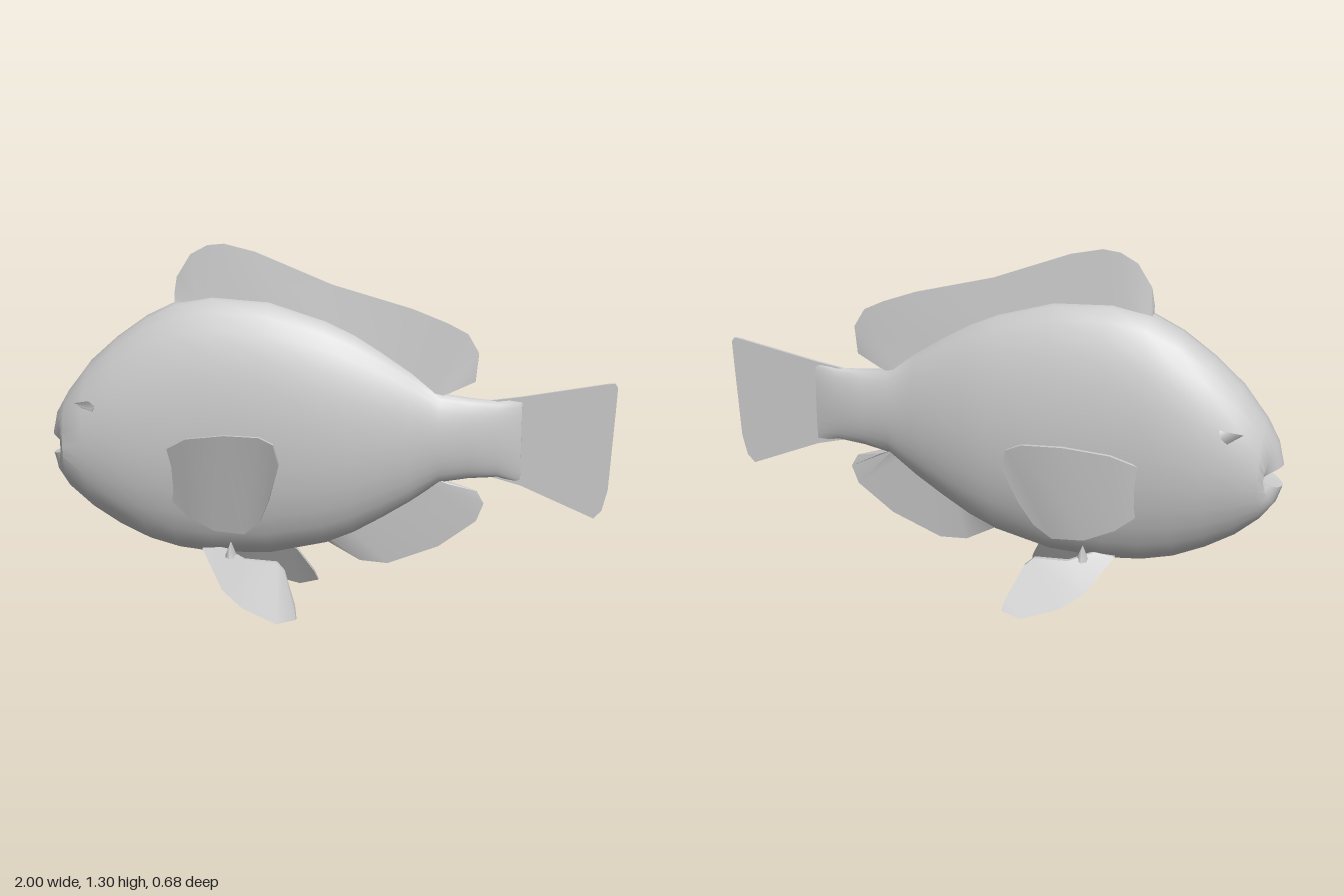
import * as THREE from 'three';
import { toCreasedNormals } from 'three/addons/utils/BufferGeometryUtils.js';

const material = new THREE.MeshStandardMaterial({ color: 0xcccccc, side: THREE.DoubleSide });

// Skin a row of closed cross-sections running towards +x and cap both ends
function loft(rings, crease) {
  const n = rings[0].length, last = rings.length - 1;
  const points = rings.flat();
  const index = [];
  for (let i = 0; i < last; i++) {
    for (let j = 0; j < n; j++) {
      const k = (j + 1) % n;
      const a = i * n + j, b = a + n, c = i * n + k, d = c + n;
      index.push(a, b, c, c, b, d);
    }
  }
  for (let j = 1; j < n - 1; j++) {
    index.push(0, j, j + 1);
    index.push(last * n, last * n + j + 1, last * n + j);
  }
  const geometry = new THREE.BufferGeometry();
  geometry.setAttribute('position', new THREE.Float32BufferAttribute(points.flat(), 3));
  geometry.setIndex(index);
  return toCreasedNormals(geometry, crease);
}

// Thin blade spanned between pairs of upper and lower edge points
function blade(name, pairs, upperHalf, lowerHalf, side = 1) {
  const rings = pairs.map(([[ux, uy, uz = 0], [lx, ly, lz = 0]]) => [
    [ux, uy, side * uz - upperHalf], [lx, ly, side * lz - lowerHalf],
    [lx, ly, side * lz + lowerHalf], [ux, uy, side * uz + upperHalf],
  ]);
  const mesh = new THREE.Mesh(loft(rings, 0.6), material);
  mesh.name = name;
  return mesh;
}

function createBody() {
  // x, bottom, top, half width, backward sweep of the sides
  const sections = [
    [-0.91, 0.56, 0.585, 0.06, 0], [-1.0, 0.535, 0.61, 0.075, 0.065],
    [-0.98, 0.475, 0.69, 0.1, 0.035], [-0.93, 0.41, 0.775, 0.125, 0],
    [-0.85, 0.34, 0.88, 0.148, 0], [-0.75, 0.28, 0.97, 0.166, 0],
    [-0.64, 0.23, 1.05, 0.175, 0], [-0.53, 0.202, 1.105, 0.175, 0],
    [-0.4, 0.19, 1.13, 0.173, 0], [-0.2, 0.2, 1.12, 0.17, 0],
    [0, 0.25, 1.06, 0.155, 0], [0.1, 0.295, 1.015, 0.138, 0],
    [0.2, 0.355, 0.955, 0.116, 0], [0.3, 0.42, 0.89, 0.09, 0],
    [0.4, 0.495, 0.815, 0.061, 0], [0.5, 0.515, 0.803, 0.046, 0],
    [0.6, 0.525, 0.798, 0.032, 0], [0.68, 0.505, 0.812, 0.011, 0],
  ];
  const sides = 28;
  const rings = sections.map(([x, bottom, top, w, sweep]) =>
    Array.from({ length: sides }, (_, j) => {
      const a = (j / sides) * Math.PI * 2;
      const y = (top + bottom) / 2 + (top - bottom) / 2 * Math.cos(a);
      return [x + sweep * Math.sin(a) ** 2, y, -w * Math.sin(a)];
    }));
  const mesh = new THREE.Mesh(loft(rings, 0.7), material);
  mesh.name = 'body';
  return mesh;
}

export function createModel() {
  const fish = new THREE.Group();
  fish.name = 'fish';
  fish.add(createBody());

  // Fins on the centre line
  fish.add(blade('dorsalFin', [
    [[-0.54, 1.13], [-0.535, 1.08]], [[-0.53, 1.19], [-0.5, 1.09]],
    [[-0.48, 1.27], [-0.45, 1.1]], [[-0.42, 1.303], [-0.39, 1.1]],
    [[-0.36, 1.31], [-0.3, 1.1]], [[-0.25, 1.285], [-0.2, 1.09]],
    [[0.02, 1.18], [0, 1.03]], [[0.3, 1.105], [0.2, 0.93]],
    [[0.42, 1.06], [0.3, 0.86]], [[0.49, 1.025], [0.37, 0.82]],
    [[0.528, 0.96], [0.41, 0.812]], [[0.518, 0.86], [0.43, 0.82]],
  ], 0.002, 0.022));
  fish.add(blade('analFin', [
    [[0, 0.28], [0, 0.255]], [[0.08, 0.31], [0.12, 0.19]],
    [[0.16, 0.36], [0.22, 0.185]], [[0.26, 0.42], [0.4, 0.26]],
    [[0.35, 0.49], [0.53, 0.36]], [[0.39, 0.51], [0.555, 0.425]],
    [[0.43, 0.495], [0.53, 0.47]],
  ], 0.018, 0.002));
  fish.add(blade('tailFin', [
    [[0.56, 0.795], [0.56, 0.53]], [[0.68, 0.815], [0.68, 0.5]],
    [[0.93, 0.865], [0.935, 0.395]], [[0.965, 0.872], [0.962, 0.425]],
    [[0.99, 0.875], [0.98, 0.5]], [[1, 0.86], [0.997, 0.8]],
  ], 0.005, 0.005));

  for (const side of [1, -1]) {
    const label = side > 0 ? 'left' : 'right';

    // Broad side fin flaring outwards and back
    fish.add(blade(label + 'PectoralFin', [
      [[-0.54, 0.61, 0.163], [-0.53, 0.42, 0.14]],
      [[-0.45, 0.67, 0.23], [-0.46, 0.37, 0.165]],
      [[-0.3, 0.705, 0.285], [-0.36, 0.335, 0.197]],
      [[-0.17, 0.715, 0.325], [-0.25, 0.335, 0.212]],
      [[-0.12, 0.695, 0.333], [-0.19, 0.39, 0.232]],
      [[-0.105, 0.62, 0.322], [-0.15, 0.48, 0.27]],
    ], 0.006, 0.006, side));

    // Belly fin reaching down and outwards
    fish.add(blade(label + 'PelvicFin', [
      [[-0.37, 0.23, 0.06], [-0.44, 0.22, 0.06]],
      [[-0.28, 0.2, 0.095], [-0.35, 0.1, 0.145]],
      [[-0.16, 0.2, 0.105], [-0.27, 0.05, 0.182]],
      [[-0.13, 0.175, 0.12], [-0.14, 0.01, 0.212]],
      [[-0.08, 0.07, 0.185], [-0.07, 0.03, 0.208]],
    ], 0.008, 0.006, side));

    // Small pointed eye ridge
    const eye = new THREE.Mesh(new THREE.ConeGeometry(0.034, 0.075, 3), material);
    eye.name = label + 'Eye';
    eye.position.set(-0.84, 0.745, side * 0.135);
    eye.rotation.z = 1.35;
    eye.scale.z = 0.5;
    fish.add(eye);

    // Spine at the root of the belly fin
    const spine = new THREE.Mesh(new THREE.ConeGeometry(0.024, 0.06, 4), material);
    spine.name = label + 'PelvicSpine';
    spine.position.set(-0.33, 0.23, side * 0.085);
    fish.add(spine);
  }
  return fish;
}
